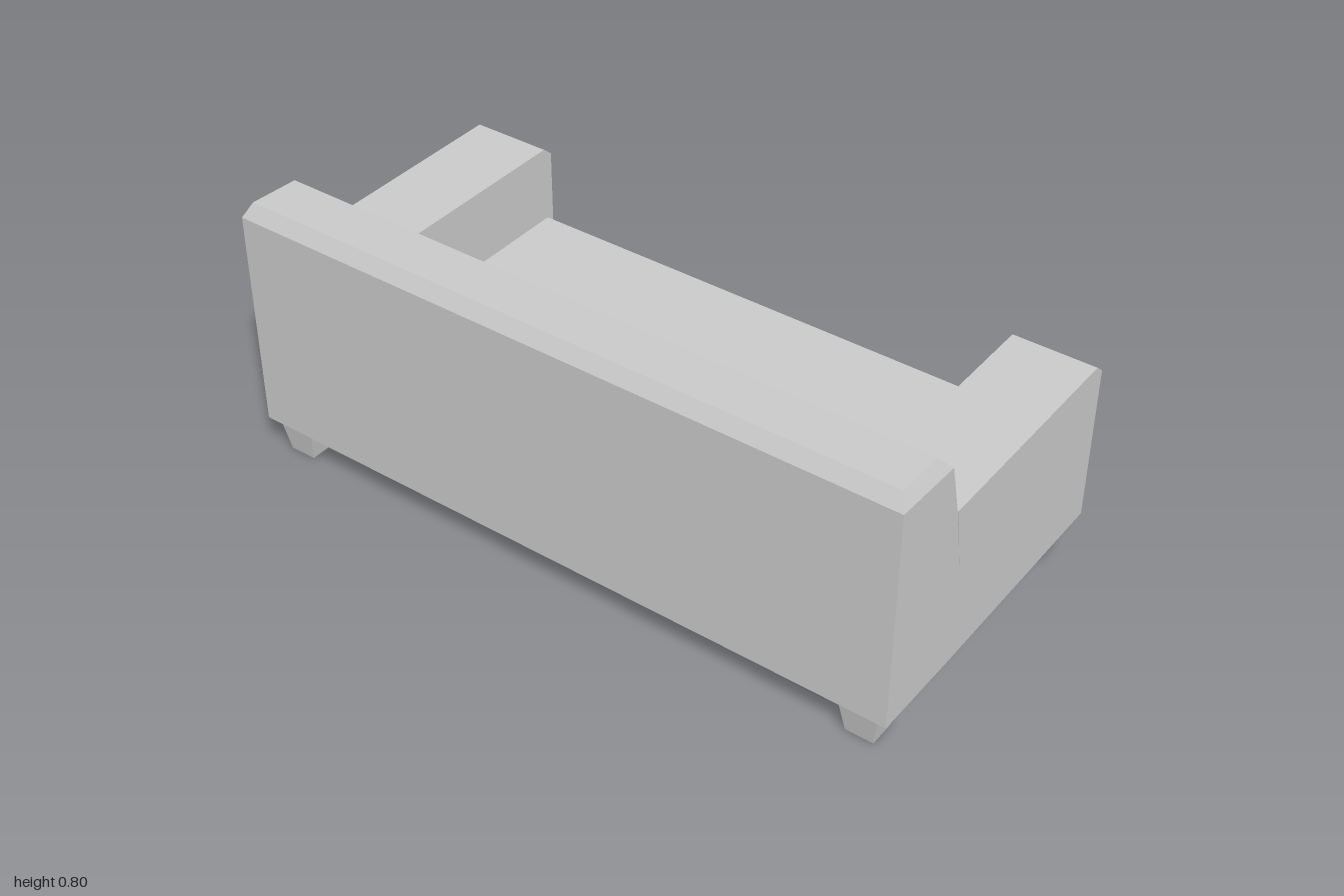
import * as THREE from 'three';
import { ConvexGeometry } from 'three/addons/geometries/ConvexGeometry.js';

const material = new THREE.MeshStandardMaterial({ color: 0xcccccc, flatShading: true });

// Extrude a side profile of [z, y] points from x0 to x1.
function extrudeAlongX(name, profile, x0, x1) {
  const shape = new THREE.Shape(profile.map(([z, y]) => new THREE.Vector2(-z, y)));
  const geometry = new THREE.ExtrudeGeometry(shape, { depth: x1 - x0, bevelEnabled: false });
  geometry.rotateY(Math.PI / 2).translate(x0, 0, 0);
  const mesh = new THREE.Mesh(geometry, material);
  mesh.name = name;
  return mesh;
}

// Convex solid mirrored about x = 0 from [halfWidth, y, z] points.
function mirroredSolid(name, points) {
  const corners = points.flatMap(([x, y, z]) => [
    new THREE.Vector3(x, y, z), new THREE.Vector3(-x, y, z),
  ]);
  const mesh = new THREE.Mesh(new ConvexGeometry(corners), material);
  mesh.name = name;
  return mesh;
}

// Square leg tapering towards the floor.
function makeLeg(name, x, z) {
  const geometry = new THREE.CylinderGeometry(0.057 * Math.SQRT2, 0.04 * Math.SQRT2, 0.105, 4);
  geometry.rotateY(Math.PI / 4);
  const mesh = new THREE.Mesh(geometry, material);
  mesh.name = name;
  mesh.position.set(x, 0.0525, z);
  return mesh;
}

export function createModel() {
  const sofa = new THREE.Group();
  sofa.name = 'sofa';

  // Seat block with a chamfered front edge
  sofa.add(extrudeAlongX('seat', [
    [-0.485, 0.1], [0.21, 0.1], [0.185, 0.362], [-0.46, 0.362], [-0.485, 0.336],
  ], -0.76, 0.76));

  // Armrests, chamfered along the front
  const arm = [
    [-0.485, 0.1], [0.21, 0.1], [0.185, 0.362], [0.226, 0.593], [-0.455, 0.593], [-0.485, 0.567],
  ];
  sofa.add(extrudeAlongX('leftArm', arm, 0.76, 1));
  sofa.add(extrudeAlongX('rightArm', arm, -1, -0.76));

  // Leaning backrest
  sofa.add(extrudeAlongX('backrest', [
    [0.485, 0.105], [0.485, 0.76], [0.27, 0.75], [0.229, 0.593], [0.185, 0.362], [0.21, 0.1],
  ], -1, 1));

  // Chamfered top of the backrest
  sofa.add(mirroredSolid('backrestTop', [
    [1, 0.76, 0.485], [1, 0.75, 0.27], [0.978, 0.802, 0.46], [0.978, 0.793, 0.308],
  ]));

  // Legs
  for (const [side, x] of [['left', 0.913], ['right', -0.913]]) {
    sofa.add(makeLeg(side + 'FrontLeg', x, -0.4));
    sofa.add(makeLeg(side + 'BackLeg', x, 0.414));
  }
  return sofa;
}
